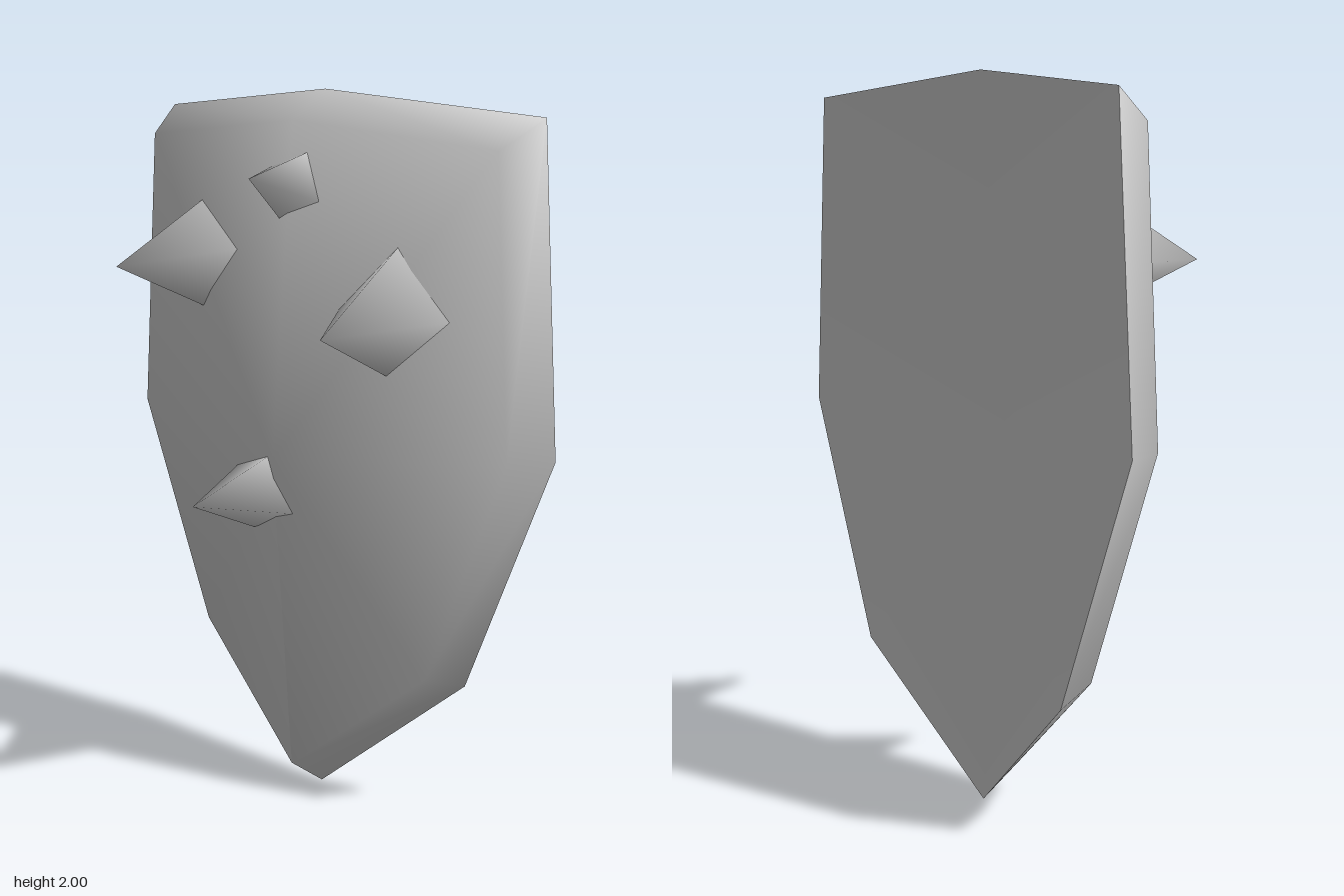
import * as THREE from 'three';
import { toCreasedNormals } from 'three/addons/utils/BufferGeometryUtils.js';

const material = new THREE.MeshStandardMaterial({ color: 0xcccccc });

function meshFrom(name, points, faces, crease) {
  let geometry = new THREE.BufferGeometry();
  geometry.setAttribute('position', new THREE.Float32BufferAttribute(points.flat(), 3));
  geometry.setIndex(faces.flat());
  geometry.computeVertexNormals();
  if (crease) geometry = toCreasedNormals(geometry, crease);
  const mesh = new THREE.Mesh(geometry, material);
  mesh.name = name;
  return mesh;
}

// Full outline, counter-clockwise from the front, from the half on the left side
function mirrorOutline([top, ...rest]) {
  const bottom = rest.pop();
  const right = rest.map(([x, y, z]) => [-x, y, z]);
  const left = [...rest].reverse();
  return [top, ...right, bottom, ...left];
}

// Curved plate: front and back fans joined by a bevelled rim
function createPlate() {
  const front = mirrorOutline([[0, 1.92, -0.05], [0.63, 1.86, -0.13], [0.68, 1.06, -0.13], [0.42, 0.42, -0.13], [0, 0.09, -0.05]]);
  const back = mirrorOutline([[0, 2, -0.18], [0.68, 1.94, -0.26], [0.74, 1.06, -0.26], [0.46, 0.38, -0.26], [0, 0, -0.18]]);
  const n = front.length;
  const points = [...front, ...back, [0, 1, 0.03], [0, 1, -0.1]];
  const faces = [];
  for (let i = 0; i < n; i++) {
    const j = (i + 1) % n;
    faces.push([2 * n, i, j]);
    faces.push([2 * n + 1, n + j, n + i]);
    faces.push([i, n + i, n + j], [i, n + j, j]);
  }
  return meshFrom('shieldPlate', points, faces, THREE.MathUtils.degToRad(70));
}

// Depth of the plate's front face around the spikes
function plateFront(x, y) {
  const dx = Math.abs(x), dy = Math.abs(y - 1);
  return 0.03 - Math.max(0.135 * dx + 0.087 * dy, 0.229 * dx + 0.018 * dy);
}

// Four-sided spike whose base follows the plate; corners run clockwise
function createSpike(name, tip, corners) {
  const base = corners.map(([x, y]) => [x, y, plateFront(x, y) - 0.01]);
  const faces = base.map((_, i) => [0, 1 + (i + 1) % 4, 1 + i]);
  return meshFrom(name, [tip, ...base], faces);
}

export function createModel() {
  const shield = new THREE.Group();
  shield.name = 'shield';
  shield.add(
    createPlate(),
    createSpike('upperRightSpike', [-0.45, 1.51, 0.19], [[-0.52, 1.51], [-0.38, 1.69], [-0.2, 1.56], [-0.355, 1.38]]),
    createSpike('upperLeftSpike', [0.38, 1.4, 0.255], [[0.18, 1.43], [0.355, 1.61], [0.515, 1.42], [0.335, 1.26]]),
    createSpike('topSpike', [0.02, 1.775, 0.14], [[-0.095, 1.79], [0.055, 1.84], [0.105, 1.705], [-0.035, 1.65]]),
    createSpike('lowerSpike', [-0.105, 0.885, 0.235], [[-0.185, 0.95], [-0.02, 1.01], [0.055, 0.85], [-0.115, 0.78]])
  );
  return shield;
}
